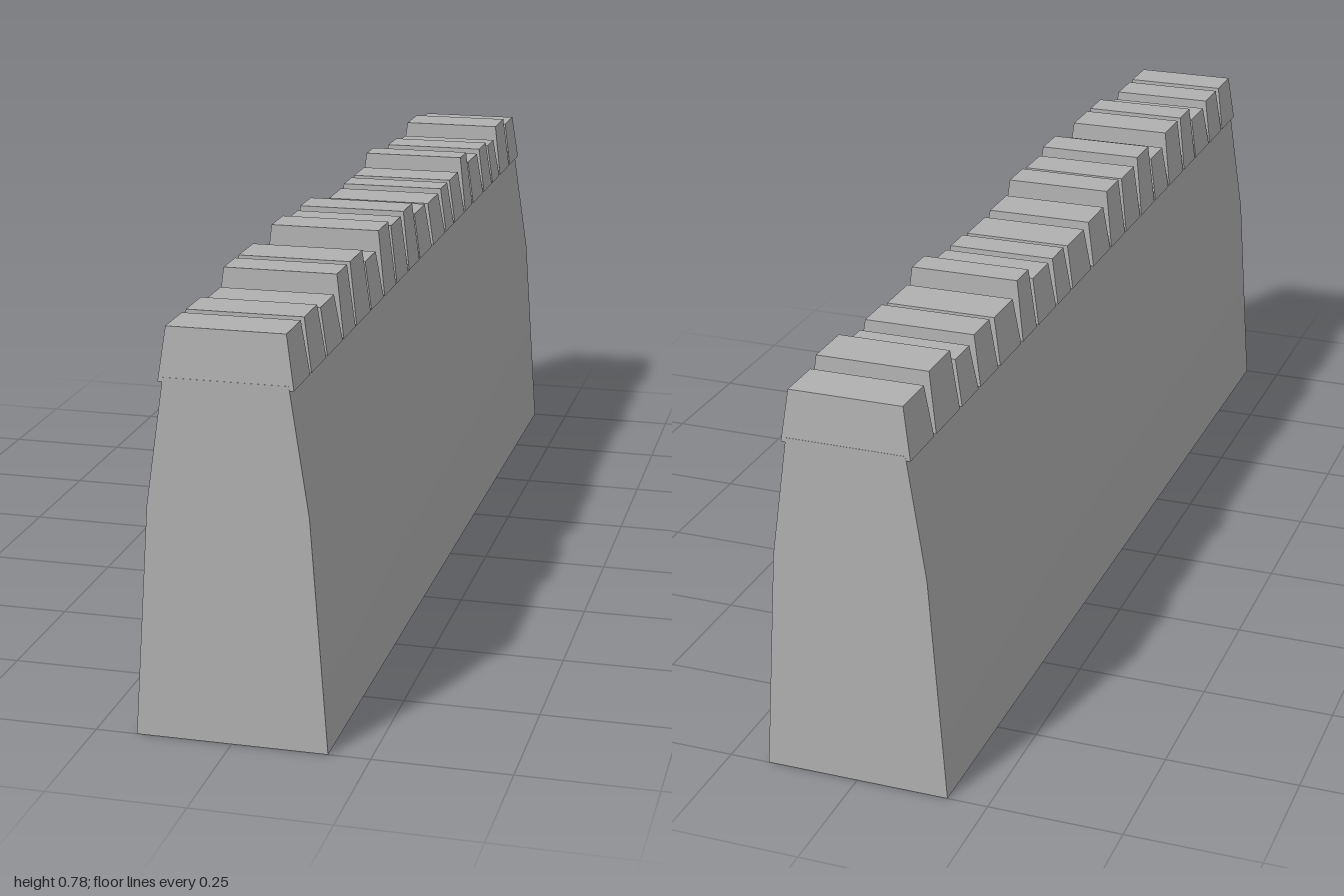
import * as THREE from 'three';
import { toCreasedNormals } from 'three/addons/utils/BufferGeometryUtils.js';

// Coping stones along the wall: [back z, front z, top y]
const STONES = [
  [-1, -0.895, 0.748], [-0.885, -0.775, 0.764], [-0.765, -0.685, 0.737],
  [-0.675, -0.585, 0.748], [-0.575, -0.465, 0.742], [-0.455, -0.38, 0.769],
  [-0.37, -0.27, 0.742], [-0.26, -0.182, 0.742], [-0.172, -0.06, 0.737],
  [-0.045, 0.063, 0.742], [0.07, 0.16, 0.769], [0.168, 0.265, 0.764],
  [0.273, 0.365, 0.777], [0.373, 0.468, 0.742], [0.475, 0.58, 0.769],
  [0.588, 0.673, 0.769], [0.68, 0.785, 0.737], [0.793, 0.89, 0.748],
  [0.898, 1, 0.748],
];
const STONE_BASE = 0.652;

// Box whose top is narrowed to make a tapered stone
function stoneGeometry(depth, height) {
  const geometry = new THREE.BoxGeometry(0.238, height, depth);
  const p = geometry.attributes.position;
  for (let i = 0; i < p.count; i++) {
    if (p.getY(i) > 0) {
      p.setX(i, Math.sign(p.getX(i)) * 0.105);
      p.setZ(i, Math.sign(p.getZ(i)) * (depth / 2 - 0.007));
    }
  }
  const flat = geometry.toNonIndexed();
  flat.computeVertexNormals();
  return flat;
}

export function createModel() {
  const model = new THREE.Group();
  model.name = 'stoneWall';
  const stone = new THREE.MeshStandardMaterial({ color: 0xb0b0b0 });
  stone.name = 'grey stone';

  // Battered wall body, running along z
  const half = [[0.174, 0], [0.144, 0.43], [0.11, 0.66]];
  const outline = [...half, ...half.map(([x, y]) => [-x, y]).reverse()];
  const shape = new THREE.Shape(outline.map(([x, y]) => new THREE.Vector2(x, y)));
  const bodyGeometry = new THREE.ExtrudeGeometry(shape, { depth: 2, bevelEnabled: false });
  bodyGeometry.translate(0, 0, -1);
  const body = new THREE.Mesh(toCreasedNormals(bodyGeometry, Math.PI / 6), stone);
  body.name = 'wallBody';
  model.add(body);

  // Row of uneven coping stones overhanging the top
  const coping = new THREE.Group();
  coping.name = 'coping';
  STONES.forEach(([back, front, top], i) => {
    const height = top - STONE_BASE;
    const mesh = new THREE.Mesh(stoneGeometry(front - back, height), stone);
    mesh.position.set(0, STONE_BASE + height / 2, (back + front) / 2);
    mesh.name = `copingStone${i + 1}`;
    coping.add(mesh);
  });
  model.add(coping);
  return model;
}
